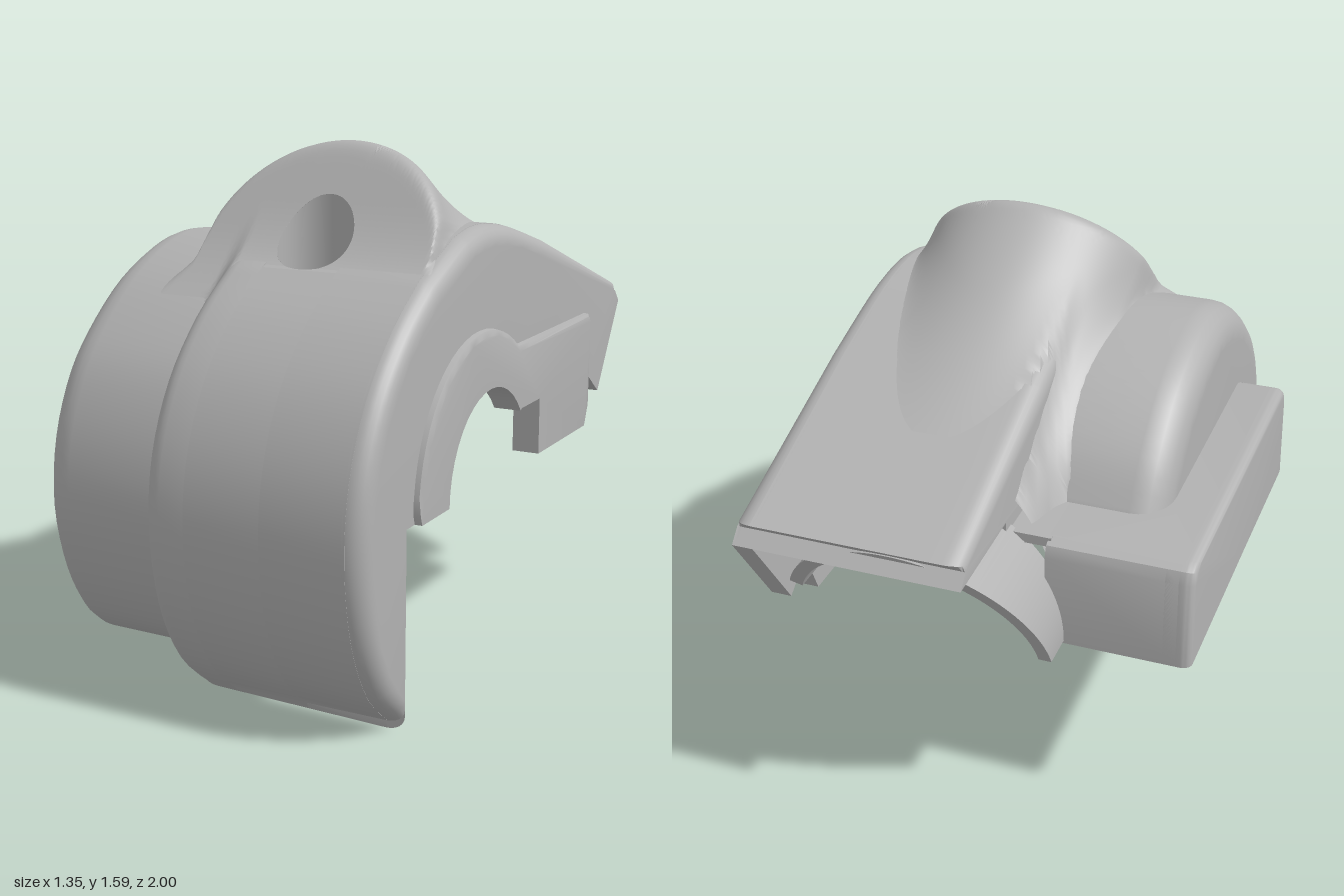
import * as THREE from 'three';
import { toCreasedNormals } from 'three/addons/utils/BufferGeometryUtils.js';

const grey = new THREE.MeshStandardMaterial({ color: 0xb2b2b2, side: THREE.DoubleSide });
grey.name = 'housing grey';

// smooth run through a few [z, y] points
const smooth = (pts, n) =>
  new THREE.SplineCurve(pts.map(p => new THREE.Vector2(...p))).getPoints(n).map(p => [p.x, p.y]);
// arc in [z, y], angles in radians from +z
const arc = (cz, cy, r, a0, a1, n = 16) => Array.from({ length: n + 1 }, (_, i) => {
  const a = a0 + (a1 - a0) * i / n;
  return [cz + r * Math.cos(a), cy + r * Math.sin(a)];
});
// stations [x, inset] of a rounded edge at x, running inward in direction dir
const fillet = (x, dir, r) => Array.from({ length: 7 }, (_, i) => {
  const a = i / 6 * Math.PI / 2;
  return [x + dir * r * (1 - Math.cos(a)), r * (1 - Math.sin(a))];
});
// height of the upper side of a front-to-back profile at z
function heightAt(profile, z) {
  let i = profile.length - 2;
  while (i > 0 && profile[i][0] < z) i--;
  const [[z0, y0], [z1, y1]] = [profile[i], profile[i + 1]];
  return y0 + (y1 - y0) * (z - z0) / (z1 - z0);
}
// larger of two values with a rounded transition of width k
const blendMax = (a, b, k) => Math.max(a, b) + Math.max(k - Math.abs(a - b), 0) ** 2 / (4 * k);

// The front skirt ends on one flat plane, slightly skewed to the body
const CUT = 0.71, SKEW = 0.05;

// Solid across x: outer edge (front to back, pulled in by each station's inset) closed by a fixed lower edge
function slab(outer, lower, stations) {
  const n = outer.length + lower.length, pos = [], idx = [];
  const ring = ([x, inset]) => {
    const cut = CUT + SKEW * x;
    const pulled = outer.map(([z, y], i) => {
      const dz = 0.2 - z, dy = 0.55 - y, l = Math.hypot(dz, dy);
      const pz = i ? z + inset * dz / l : z;
      return [z > CUT && y < 0.55 ? Math.max(pz, cut) : pz, y + inset * dy / l];
    });
    return [...pulled, ...lower].map(([z, y]) => [z === CUT ? cut : z, y]);
  };
  stations.forEach((station, k) => {
    ring(station).forEach(([z, y]) => pos.push(station[0], y, z));
    if (!k) return;
    for (let i = 0; i < n; i++) {
      const a = (k - 1) * n + i, b = (k - 1) * n + (i + 1) % n;
      idx.push(a, a + n, b, b, a + n, b + n);
    }
  });
  [[0, -1], [stations.length - 1, 1]].forEach(([k, side]) => {
    const pts = ring(stations[k]).map(([z, y]) => new THREE.Vector2(-z, y));
    THREE.ShapeUtils.triangulateShape(pts, []).forEach(([a, b, c]) => {
      const area = THREE.ShapeUtils.area([pts[a], pts[b], pts[c]]);
      const t = area * side > 0 ? [a, b, c] : [a, c, b];
      idx.push(...t.map(i => i + k * n));
    });
  });
  const g = new THREE.BufferGeometry();
  g.setAttribute('position', new THREE.Float32BufferAttribute(pos, 3));
  g.setIndex(idx);
  return toCreasedNormals(g, 0.6);
}

// move every vertex of a geometry by a rule
function warp(g, rule) {
  const p = g.attributes.position;
  for (let i = 0; i < p.count; i++) p.setXYZ(i, ...rule(p.getX(i), p.getY(i), p.getZ(i)));
  g.computeVertexNormals();
  return toCreasedNormals(g, 0.6);
}

export function createModel() {
  const model = new THREE.Group(), body = new THREE.Group();
  model.name = 'gearHousing';
  body.name = 'housingBody';
  body.rotation.y = 0.05;
  model.add(body);
  const add = (name, geometry) => {
    const m = new THREE.Mesh(geometry, grey);
    m.name = name;
    body.add(m);
  };

  // main cover profile, split where the oil hole passes through
  const front = smooth([[CUT, 0], [0.86, 0.13], [0.96, 0.32], [1, 0.55], [0.975, 0.77], [0.88, 0.97],
    [0.73, 1.13], [0.56, 1.245]], 28);
  const back = [...smooth([[0.34, 1.335], [0.2, 1.355], [0, 1.335], [-0.3, 1.255]], 12), [-0.96, 1.03]];
  const tail = [[-0.93, 1], [-0.97, 0.96]];
  const ceiling = [...tail, [-0.62, 0.97], [-0.62, 0.9]];
  const foot = [[0.56, 0.59], [CUT, 0.59]];
  const cover = [...front, ...back], coreLower = [...ceiling, [0.56, 0.9], ...foot];
  add('coverLeft', slab(cover, coreLower, [...fillet(-0.08, 1, 0.06), [0.06, 0]]));
  add('coverRight', slab(cover, coreLower, [[0.3, 0], [0.56, 0]]));
  add('coverMiddleFront', slab(front, foot, [[0.06, 0], [0.3, 0]]));
  add('coverMiddleBack', slab(back, [...ceiling, [0.34, 0.9]], [[0.06, 0], [0.3, 0]]));

  // side wall with the bearing opening
  const notch = [[-0.17, 0.59], [-0.17, 0.77], [-0.02, 0.77], ...arc(0.22, 0.59, 0.29, 2.5, 0)];
  add('sideWall', slab(cover, [...tail, [-0.78, 0.67], [-0.68, 0.74], [-0.64, 0.66], [-0.61, 0.59], ...notch,
    [CUT, 0.59]], [[0.55, 0], ...fillet(0.615, -1, 0.06).reverse()]));
  // raised pad around the opening
  add('sidePad', slab([...arc(0.26, 0.62, 0.44, 0, 2.22, 20), [-0.09, 0.97], [-0.62, 0.97], [-0.64, 0.95],
    [-0.64, 0.66], [-0.61, 0.59]], [...notch, [0.69, 0.59]], [[0.61, 0], [0.63, 0.004], [0.638, 0.02]]));

  // smaller rounded bulge beside the cover
  const bulge = smooth([[CUT, 0.12], [0.8, 0.2], [0.88, 0.35], [0.925, 0.55], [0.905, 0.75], [0.83, 0.93],
    [0.72, 1.06], [0.55, 1.19], [0.36, 1.27], [0.2, 1.29], [0.02, 1.26], [-0.15, 1.19], [-0.31, 1.06],
    [-0.41, 0.91]], 48);
  add('bulge', slab(bulge, [[-0.41, 0.9], [0.56, 0.9], ...foot], [...fillet(-0.49, 1, 0.11), [-0.02, 0]]));

  // boss height: a tilted barrel cut by a sloping face, flowing into the cover and bulge
  const hx = 0.178, hz = 0.455, ridge = 0.238;
  function bossY(x, z) {
    const dx = Math.abs(x - hx);
    const round = 1.18 * (0.38 - Math.sqrt(Math.max(0, 0.1444 - dx * dx))) + 3 * Math.max(0, dx - 0.36);
    const barrel = 1.605 - (ridge - z) * 0.62 - round;
    const face = 1.605 - (z - ridge) * 1.376;
    const drop = 0.06 - Math.sqrt(0.0036 - Math.max(0, x - 0.555) ** 2);
    const base = THREE.MathUtils.lerp(heightAt(bulge, z), heightAt(cover, z) - drop,
      THREE.MathUtils.smoothstep(x, -0.1, -0.04));
    return blendMax(base - 0.006, -blendMax(-barrel, -face, 0.08), 0.1);
  }
  // rings spreading from the hole rim to a rectangle under the cover
  const bossGeo = new THREE.PlaneGeometry(1, 1, 200, 60).translate(0.5, 0.5, 0);
  add('boss', warp(bossGeo, (u, v) => {
    const a = -u * Math.PI * 2, c = Math.cos(a), s = Math.sin(a);
    const reach = Math.min((c > 0 ? 0.41 : 0.46) / Math.max(Math.abs(c), 1e-6),
      (s > 0 ? 0.22 : 1) / Math.max(Math.abs(s), 1e-6));
    const x = hx + c * (0.115 + (reach - 0.115) * v), z = hz + s * (0.098 + (reach - 0.098) * v);
    return [x, bossY(x, z), z];
  }));

  // cover patch and wall of the vertical oil hole
  const patch = new THREE.Shape([[0.06, 0.34], [0.3, 0.34], [0.3, 0.56], [0.06, 0.56]]
    .map(p => new THREE.Vector2(...p)));
  patch.holes.push(new THREE.Path().absellipse(hx, hz, 0.115, 0.098, 0, Math.PI * 2));
  const patchGeo = new THREE.ExtrudeGeometry(patch, { depth: 1, bevelEnabled: false, curveSegments: 24 });
  add('holePatch', warp(patchGeo, (x, z, t) => [x, t > 0.5 ? 0.9 : heightAt(cover, z) - 0.002, z]));
  const tube = new THREE.CylinderGeometry(1, 1, 1, 48, 1, true);
  add('oilHole', warp(tube, (x, y, z) => {
    const wx = hx + x * 0.115, wz = hz + z * 0.098;
    return [wx, y > 0 ? bossY(wx, wz) : 0.9, wz];
  }));

  // low shelf with a closed end wall and a half-round bearing seat
  const shelf = [[0.54, 0.59], [0.54, 0.88], [0.525, 0.915], [0.49, 0.93], [-0.58, 0.93], [-0.615, 0.915],
    [-0.63, 0.88], [-0.63, 0.59]];
  add('shelf', slab(shelf, [[-0.58, 0.59], [-0.58, 0.9], [0.49, 0.9], [0.49, 0.59]], [[-0.6, 0], [-0.2, 0]]));
  add('shelfEnd', slab(shelf, [[0, 0.59]], [...fillet(-0.645, 1, 0.03), [-0.6, 0]]));
  add('bearingSeat', slab(shelf, arc(0.24, 0.59, 0.16, Math.PI, 0), [[-0.6, 0], [-0.56, 0]]));
  add('shelfBridge', new THREE.BoxGeometry(0.16, 0.03, 0.26).translate(-0.13, 0.915, -0.47));

  // half-round collar at the back outlet, cut at a slant
  const collar = new THREE.Shape().absarc(0.15, 0.6, 0.41, 0.4, Math.PI);
  collar.absarc(0.15, 0.6, 0.37, Math.PI, 0.4, true);
  const collarGeo = new THREE.ExtrudeGeometry(collar, { depth: 1, bevelEnabled: false, curveSegments: 28 });
  add('outletCollar', warp(collarGeo, (x, y, t) => [x, y, t > 0.5 ? -0.58 : -0.74 - (y - 0.6) * 0.5]));

  return model;
}
